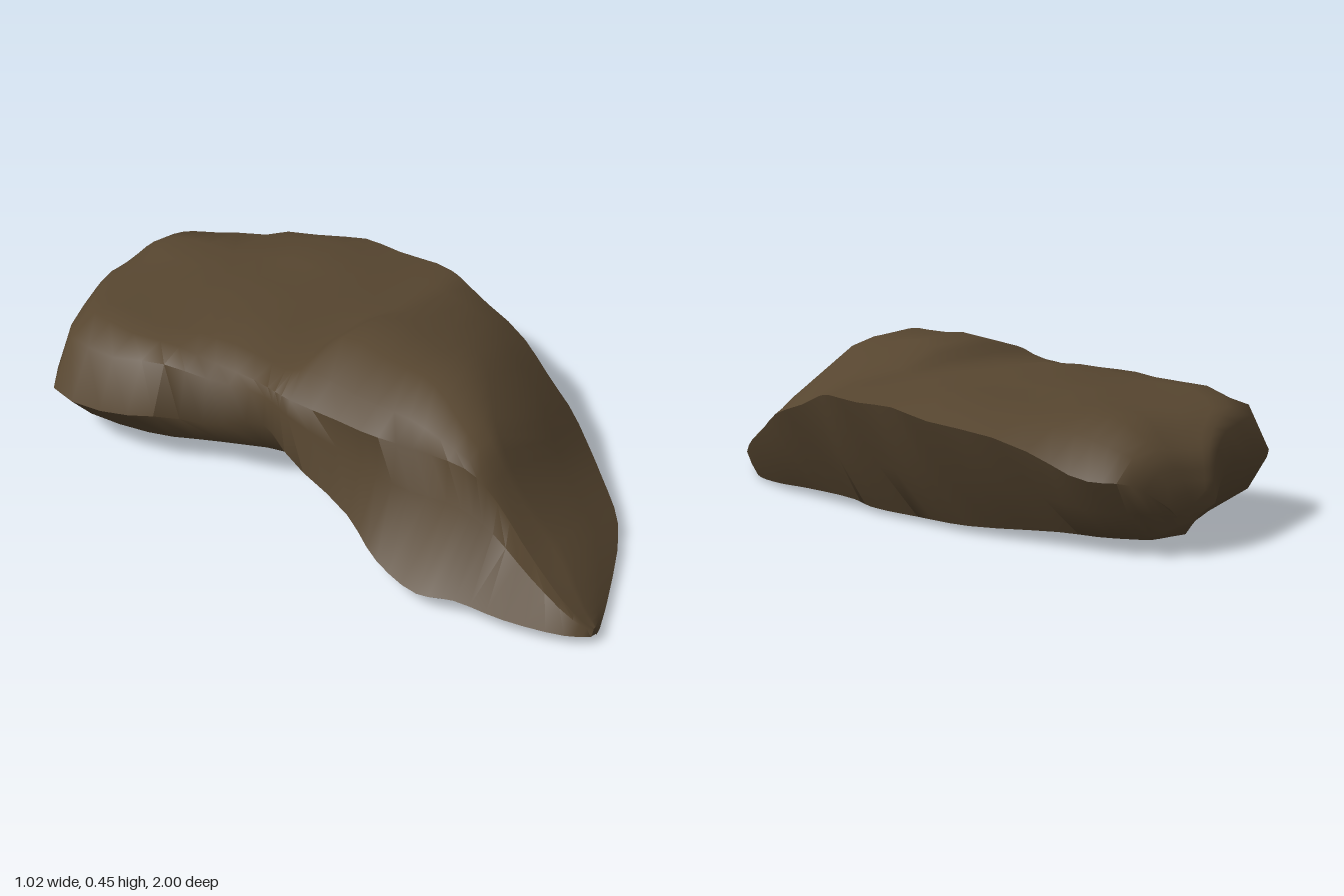
import * as THREE from 'three';
import { mergeVertices, toCreasedNormals } from 'three/addons/utils/BufferGeometryUtils.js';

// Stations from front to back:
// z, left edge x/y, left rim x/y, right break of the top x/y, right edge x/y, underside y
const stations = [
  [1.0, -0.28, 0.03, -0.27, 0.05, -0.26, 0.05, -0.24, 0.03, 0.02],
  [0.95, -0.33, 0.04, -0.29, 0.09, -0.24, 0.08, -0.13, 0.03, 0.015],
  [0.8, -0.39, 0.05, -0.27, 0.17, -0.15, 0.16, 0.14, 0.04, 0.01],
  [0.66, -0.42, 0.06, -0.24, 0.27, -0.14, 0.27, 0.26, 0.07, 0.01],
  [0.56, -0.45, 0.05, -0.25, 0.34, -0.1, 0.37, 0.33, 0.1, 0.01],
  [0.4, -0.42, 0.06, -0.27, 0.35, 0.06, 0.4, 0.41, 0.18, 0.015],
  [0.25, -0.36, 0.1, -0.3, 0.35, 0.18, 0.395, 0.45, 0.25, 0.02],
  [0.02, -0.35, 0.2, -0.32, 0.355, 0.2, 0.39, 0.49, 0.32, 0.02],
  [-0.06, -0.35, 0.25, -0.32, 0.36, 0.2, 0.37, 0.5, 0.335, 0.01],
  [-0.25, -0.39, 0.2, -0.32, 0.37, 0.22, 0.37, 0.495, 0.34, 0.01],
  [-0.45, -0.48, 0.18, -0.34, 0.36, 0.22, 0.36, 0.48, 0.325, 0.015],
  [-0.72, -0.505, 0.17, -0.33, 0.335, 0.15, 0.335, 0.385, 0.26, 0.035],
  [-0.88, -0.21, 0.19, -0.12, 0.285, 0.15, 0.305, 0.32, 0.21, 0.04],
  [-0.96, -0.06, 0.17, -0.02, 0.24, 0.13, 0.255, 0.26, 0.19, 0.05],
  [-1.0, 0.0, 0.13, 0.03, 0.17, 0.1, 0.17, 0.16, 0.13, 0.09],
];

// Cross-section, anticlockwise as seen from the front
function section([z, xL, yL, xC, yC, xT, yT, xR, yR, yB]) {
  const mix = THREE.MathUtils.lerp, smooth = THREE.MathUtils.smoothstep;
  const front = smooth(z, -0.2, 0.3);
  const mound = z > 0 ? 0.08 * (1 - smooth(z, 0.2, 0.7)) : 0.03 * smooth(z, -0.9, 0);
  const xBR = xR - 0.43 * yR, xBL = xL + 0.3 * yL + 0.02;
  const yBL = mix(yB, yL, 0.4);
  const top = (t, lift) => [mix(xT, xC, t), mix(yT, yC, t) + mound * lift];
  const p = [
    [xBR, yB + 0.04 * yR],
    [mix(xBR, xR, 0.55), mix(yB, yR, 0.48)],
    [xR, yR],
    [mix(xT, xR, 0.6), mix(yT, yR, mix(0.25, 0.6, front))],
    [xT, yT],
    top(0.25, 0.6),
    top(0.58, 1),
    top(0.85, 0.55),
    [xC, yC],
    [mix(xL, xC, mix(0.45, 0.95, front)), mix(yL, yC, mix(0.82, 0.55, front))],
    [xL, yL],
    [xBL, yBL],
    [mix(xBL, xBR, 0.3), yB],
    [mix(xBL, xBR, 0.85), yB],
  ];
  return p.map(([x, y]) => new THREE.Vector3(x, y, z));
}

// Shallow, repeatable weathering of the upper faces
function weather(v) {
  const k = 0.005 * THREE.MathUtils.smoothstep(v.y, 0.06, 0.2);
  v.y += k * Math.sin(v.x * 17 + v.z * 9) + k * Math.sin(v.z * 21 - v.x * 8);
  v.x += k * Math.sin(v.z * 23 + v.y * 14);
  v.y = Math.max(v.y, 0.004);
  return v;
}

function rockGeometry() {
  const rings = stations.map(section);
  const sides = rings[0].length, steps = (rings.length - 1) * 3;
  const pos = [], index = [];
  const rails = rings[0].map((_, j) => new THREE.CatmullRomCurve3(rings.map(r => r[j]), false, 'centripetal'));
  for (let i = 0; i <= steps; i++)
    for (const rail of rails) pos.push(...weather(rail.getPoint(i / steps)).toArray());

  // Skin between neighbouring sections
  for (let i = 0; i < steps; i++)
    for (let j = 0; j < sides; j++) {
      const a = i * sides + j, b = i * sides + (j + 1) % sides;
      index.push(a, a + sides, b, b, a + sides, b + sides);
    }

  // Closed ends
  for (const end of [0, steps]) {
    const centre = new THREE.Vector3();
    for (let j = 0; j < sides; j++)
      centre.add(new THREE.Vector3().fromArray(pos, (end * sides + j) * 3));
    const c = pos.length / 3;
    pos.push(...centre.divideScalar(sides).toArray());
    for (let j = 0; j < sides; j++) {
      const a = end * sides + j, b = end * sides + (j + 1) % sides;
      if (end === 0) index.push(c, a, b);
      else index.push(c, b, a);
    }
  }
  const geo = new THREE.BufferGeometry();
  geo.setAttribute('position', new THREE.Float32BufferAttribute(pos, 3));
  geo.setIndex(index);
  return toCreasedNormals(mergeVertices(geo), 0.9);
}

export function createModel() {
  const group = new THREE.Group();
  group.name = 'boulder';
  const stone = new THREE.MeshStandardMaterial({ color: 0x574630 });
  stone.name = 'brown stone';
  const rock = new THREE.Mesh(rockGeometry(), stone);
  rock.name = 'rock';
  group.add(rock);
  return group;
}
